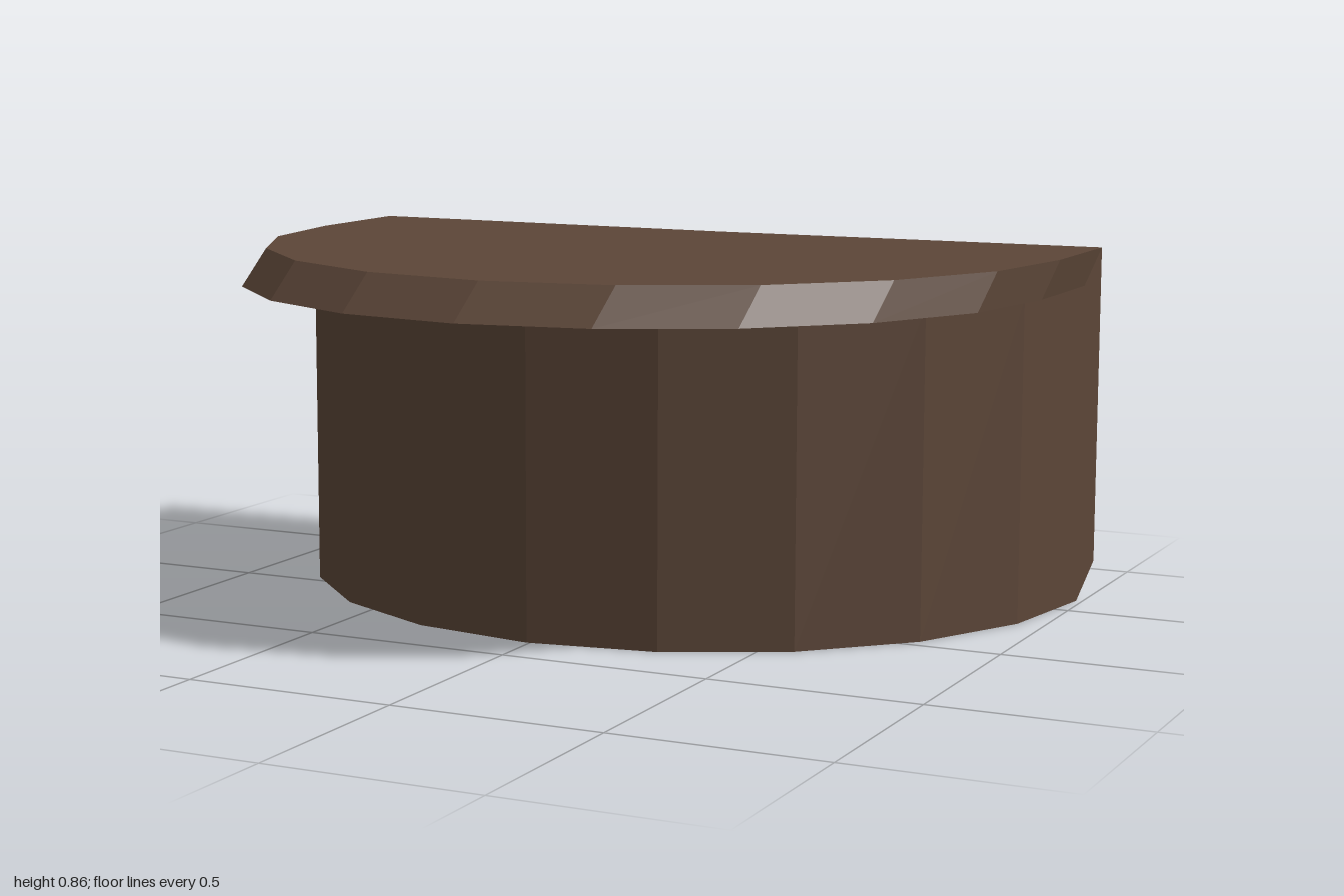
import * as THREE from 'three';

const V = (x, y, z) => new THREE.Vector3(x, y, z);
const move = (ring, d) => ring.map((p) => p.clone().add(d));

// Quads between two rings with matching points
function strip(a, b) {
  const tris = [];
  for (let i = 0; i < a.length - 1; i++) {
    tris.push(a[i], a[i + 1], b[i + 1], a[i], b[i + 1], b[i]);
  }
  return tris;
}

// Triangles from one hub point to a ring
function fan(hub, ring) {
  const tris = [];
  for (let i = 0; i < ring.length - 1; i++) tris.push(hub, ring[i], ring[i + 1]);
  return tris;
}

export function createModel() {
  const group = new THREE.Group();
  const material = new THREE.MeshStandardMaterial({
    color: 0x5c4638, flatShading: true, side: THREE.DoubleSide,
  });
  const add = (name, ...parts) => {
    const geometry = new THREE.BufferGeometry().setFromPoints(parts.flat());
    geometry.computeVertexNormals();
    const mesh = new THREE.Mesh(geometry, material);
    mesh.name = name;
    group.add(mesh);
  };

  const top = 0.855, back = -0.7, drop = 0.085, wall = top - drop;
  const slant = V(-0.015, -drop, 0.085); // offset from each upper edge to its lower edge
  const unslant = slant.clone().negate();

  // Half-round outline in ten straight segments, from right to left around the front
  const arc = [];
  for (let i = 0; i <= 10; i++) {
    const t = (i / 10) * Math.PI;
    arc.push(V(0.0075 - 0.9925 * Math.cos(t), top, -0.37 + 0.985 * Math.sin(t)));
  }
  const right = V(arc[0].x, top, back), left = V(arc[10].x, top, back);
  const lidTop = [right, ...arc, left];
  const backMid = V(0.0075, top, -0.675);

  // Body outline: the lid's lower outline set back, with its ends slanting to the rear rim
  const bodyArc = move(move(arc, slant), V(0, 0, -0.33));
  const bodyTop = [right, ...bodyArc, left];
  const bodyBottom = move(bodyTop, V(0, -wall, 0));
  const floor = bodyBottom.slice(1, -1);

  // Overhanging lid with slanted edge
  add('lidTop', fan(backMid, lidTop));
  add('lidEdge', strip(move(lidTop, slant), lidTop));
  add('lidUnderside', strip(bodyArc, move(arc, slant)));

  // Curved body
  add('bodyWall', strip(bodyBottom, bodyTop));
  add('bodyFloor', fan(floor[0], [...floor].reverse()));
  const rim = move([floor[10], floor[0]], unslant);
  add('rearChamfer', strip([floor[10], floor[0]], rim));

  // Recess in the back, with sloping sides and a flat panel
  const outer = [rim[0], rim[1], right, backMid, left, rim[0]];
  const pz = -0.51, x0 = -0.75, x1 = 0.766, y0 = 0.165, y1 = 0.775;
  const inner = [V(x1, y0, pz), V(x0, y0, pz), V(x0, y1, pz),
    V(0.008, y1, pz), V(x1, y1, pz), V(x1, y0, pz)];
  add('recessSides', strip(outer, inner));
  add('recessPanel', fan(inner[0], inner.slice(1, 5)));

  return group;
}
